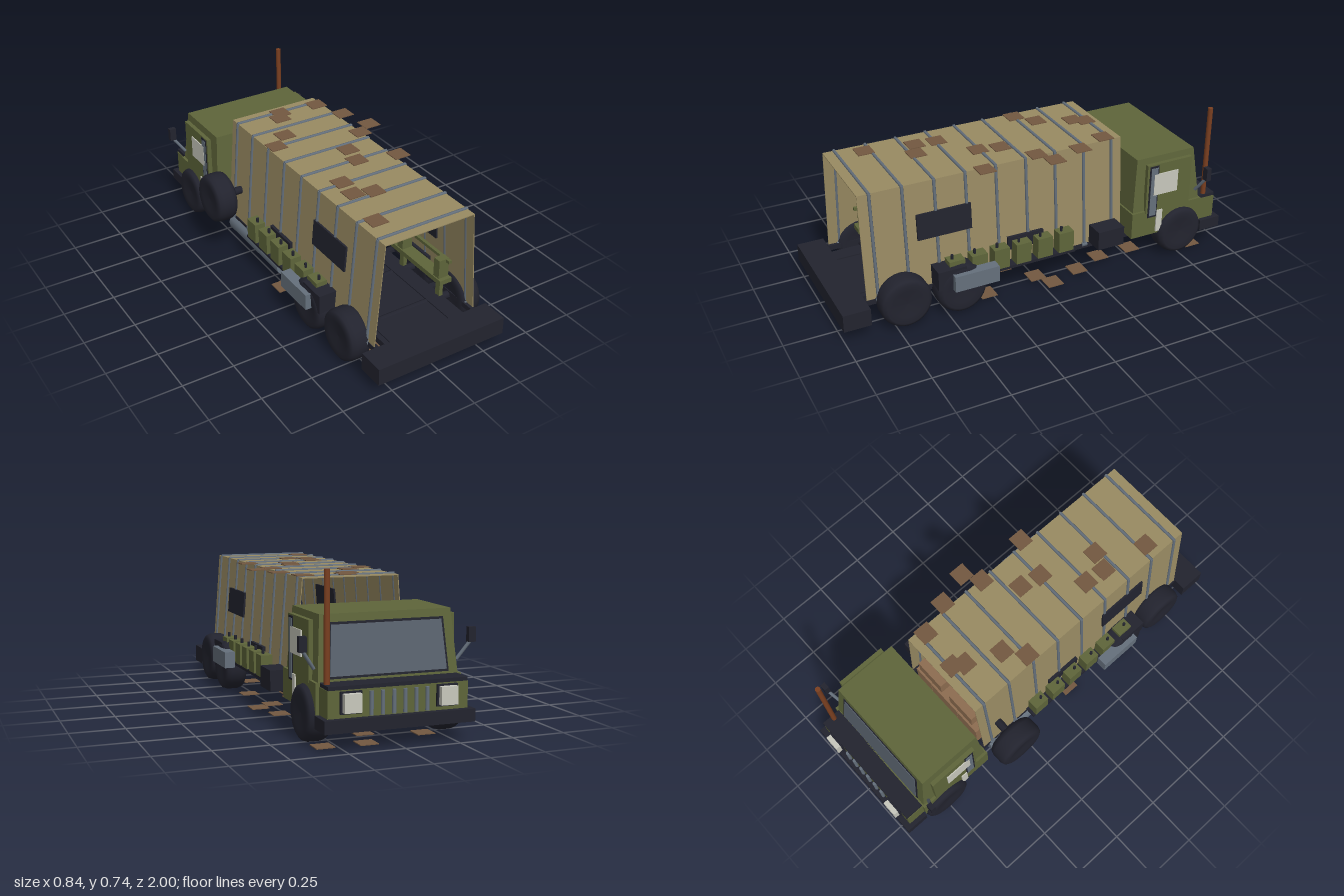
import * as THREE from 'three';

const paint = (name, color, side = THREE.FrontSide) => {
  const m = new THREE.MeshStandardMaterial({ color, side });
  m.name = name;
  return m;
};

export function createModel() {
  const olive = paint('olive paint', 0x5e653a);
  const black = paint('black rubber and steel', 0x22232e);
  const grey = paint('grey metal', 0x65707c);
  const canvas = paint('tan canvas', 0x988a62, THREE.DoubleSide);
  const wood = paint('crate wood', 0x8d6c50);
  const patchMat = paint('brown patch', 0x735840);
  const rust = paint('rusty pipe', 0x7a3f20);
  const pale = paint('pale lamp', 0xc8c8bd);
  const glass = paint('windscreen glass', 0x5a636e);

  const truck = new THREE.Group();
  truck.name = 'truck';
  truck.position.x = 0.017;

  const add = (name, geo, mat, x = 0, y = 0, z = 0) => {
    const m = new THREE.Mesh(geo, mat);
    m.name = name;
    m.position.set(x, y, z);
    truck.add(m);
    return m;
  };
  // Box given by its limits on each axis
  const box = (name, mat, x0, x1, y0, y1, z0, z1) =>
    add(name, new THREE.BoxGeometry(x1 - x0, y1 - y0, z1 - z0), mat, (x0 + x1) / 2, (y0 + y1) / 2, (z0 + z1) / 2);
  // The same box on both sides
  const pair = (name, mat, x0, x1, ...r) => {
    box(name, mat, x0, x1, ...r);
    box(name, mat, -x1, -x0, ...r);
  };
  // Box whose bottom and top rectangles [x0, x1, z0, z1] differ
  const taper = (name, mat, bottom, top, y0, y1) => {
    const geo = new THREE.BoxGeometry(1, 1, 1);
    const p = geo.attributes.position;
    for (let i = 0; i < p.count; i++) {
      const up = p.getY(i) > 0, r = up ? top : bottom;
      p.setXYZ(i, p.getX(i) < 0 ? r[0] : r[1], up ? y1 : y0, p.getZ(i) < 0 ? r[2] : r[3]);
    }
    const flat = geo.toNonIndexed();
    flat.computeVertexNormals();
    return add(name, flat, mat);
  };
  // Round bar between two points
  const bar = (name, mat, a, b, r, sides = 8) => {
    const p = new THREE.Vector3(...a), q = new THREE.Vector3(...b), d = q.clone().sub(p);
    const m = add(name, new THREE.CylinderGeometry(r, r, d.length(), sides), mat);
    m.position.copy(p).add(q).multiplyScalar(0.5);
    m.quaternion.setFromUnitVectors(new THREE.Vector3(0, 1, 0), d.normalize());
    return m;
  };

  // Chassis, cargo bed and bumpers
  box('cargoFloor', black, -0.215, 0.215, 0.105, 0.135, -0.45, 0.87);
  for (const s of [-1, 1]) box('chassisRail', black, s * 0.16 - 0.03, s * 0.16 + 0.03, 0.075, 0.14, -0.95, 0.88);
  pair('sideRail', black, 0.252, 0.275, 0.12, 0.145, -0.46, 0.87);
  for (const z of [-0.44, -0.1, 0.25, 0.6]) box('crossMember', black, -0.27, 0.27, 0.115, 0.13, z, z + 0.03);
  box('cabFloor', black, -0.24, 0.24, 0.095, 0.137, -0.95, -0.47);
  box('rearBumper', black, -0.338, 0.338, 0.058, 0.143, 0.87, 1);
  box('frontBumper', black, -0.337, 0.337, 0.085, 0.14, -0.995, -0.88);

  // Wheels
  const profile = [[0, -0.045], [0.07, -0.05], [0.1, -0.055], [0.116, -0.045], [0.123, -0.025],
    [0.123, 0.025], [0.116, 0.045], [0.1, 0.055], [0.07, 0.05], [0, 0.045]].map(p => new THREE.Vector2(...p));
  const tyre = new THREE.LatheGeometry(profile, 28);
  tyre.rotateZ(Math.PI / 2);
  for (const z of [-0.75, 0.43, 0.7]) {
    for (const s of [-1, 1]) add('wheel', tyre, black, s * 0.303, 0.126, z);
    bar('axle', black, [-0.28, 0.12, z], [0.28, 0.12, z], 0.02);
  }
  add('spareWheel', tyre, black, -0.387, 0.315, -0.345);
  bar('spareWheelBracket', black, [-0.36, 0.315, -0.345], [-0.24, 0.315, -0.345], 0.02);
  bar('exhaustTank', grey, [-0.245, 0.092, -0.42], [-0.245, 0.092, 0.07], 0.05, 12);

  // Canvas cover: two leaning walls and a roof
  const W = 0.27, T = 0.23, TOP = 0.655, Z0 = -0.45, Z1 = 0.865;
  for (const s of [-1, 1]) {
    const x0 = s * W, x1 = s * T;
    taper('canvasWall', canvas, [x0 - 0.002, x0 + 0.002, Z0, Z1], [x1 - 0.002, x1 + 0.002, Z0, Z1], 0.14, TOP);
  }
  box('canvasRoof', canvas, -T, T, TOP - 0.004, TOP, Z0, Z1);

  // Hoops over the cover
  for (let i = 0; i < 9; i++) {
    const z = 0.81 - i * 0.151;
    bar('hoopTop', grey, [-T - 0.004, TOP, z], [T + 0.004, TOP, z], 0.008, 6);
    for (const s of [-1, 1]) {
      bar('hoopLeg', grey, [s * (W + 0.002), 0.14, z], [s * (T + 0.002), TOP, z], 0.008, 6);
      bar('hoopFoot', grey, [s * W, 0.14, z - 0.013], [s * W, 0.14, z + 0.013], 0.012, 6);
    }
  }

  // Dark windows let into the canvas
  for (const s of [-1, 1]) {
    const at = (y, d) => [s * (W - (W - T) * (y - 0.14) / 0.515) - d, s * (W - (W - T) * (y - 0.14) / 0.515) + d, 0.34, 0.605];
    taper('canvasWindow', black, at(0.38, 0.011), at(0.505, 0.011), 0.38, 0.505);
  }

  // Stowage along both sides
  for (let i = 0; i < 6; i++) {
    const z = 0.445 - i * 0.1125;
    pair('fuelCan', olive, 0.272, 0.328, 0.165, 0.268, z - 0.039, z + 0.039);
    for (const s of [-1, 1]) bar('fuelCanCap', black, [s * 0.3, 0.265, z + 0.015], [s * 0.3, 0.29, z + 0.015], 0.007);
  }
  pair('canRack', black, 0.255, 0.325, 0.15, 0.165, -0.17, 0.41);
  pair('sideLocker', black, 0.26, 0.276, 0.22, 0.285, -0.02, 0.165);
  pair('greyLocker', grey, 0.33, 0.382, 0.14, 0.22, 0.26, 0.48);
  pair('mudguard', black, 0.243, 0.353, 0.15, 0.245, 0.41, 0.55);
  box('toolBox', black, 0.275, 0.368, 0.15, 0.245, -0.41, -0.27);

  // Benches and crates inside
  pair('benchSeat', olive, 0.172, 0.237, 0.222, 0.246, -0.2, 0.74);
  pair('benchRail', olive, 0.215, 0.232, 0.325, 0.34, -0.2, 0.74);
  for (const z of [-0.15, 0.12, 0.4, 0.68]) {
    pair('benchBack', olive, 0.178, 0.232, 0.246, 0.342, z, z + 0.04);
    pair('benchLeg', olive, 0.195, 0.215, 0.135, 0.222, z, z + 0.03);
  }
  box('bulkheadRail', olive, -0.245, 0.245, 0.325, 0.341, -0.25, -0.235);
  for (const [a, b] of [[-0.23, -0.094], [-0.091, 0.094], [0.097, 0.205]])
    box('lowerCrate', wood, a, b, 0.155, 0.32, -0.46, -0.27);
  pair('upperCrate', wood, 0.03, 0.19, 0.32, 0.41, -0.45, -0.3);

  // Cab body, nose and grille
  box('cabLower', olive, -0.331, 0.331, 0.137, 0.272, -0.875, -0.478);
  taper('cabUpper', olive, [-0.318, 0.318, -0.868, -0.487], [-0.298, 0.298, -0.83, -0.51], 0.27, 0.546);
  box('nose', olive, -0.315, 0.315, 0.137, 0.256, -0.966, -0.87);
  box('noseTop', black, -0.312, 0.312, 0.256, 0.272, -0.968, -0.87);
  for (let i = 0; i < 6; i++) {
    const x = -0.125 + i * 0.05;
    bar('grilleBar', grey, [x, 0.145, -0.972], [x, 0.245, -0.972], 0.009);
  }
  pair('headlightRim', black, 0.168, 0.262, 0.157, 0.25, -0.976, -0.964);
  pair('headlight', pale, 0.177, 0.253, 0.165, 0.243, -1, -0.972);

  // Windscreen on the sloping face
  const screen = (name, mat, y0, y1, hb, ht, out) => {
    const z = y => -0.868 + 0.038 * (y - 0.27) / 0.276 - out;
    taper(name, mat, [-hb, hb, z(y0), z(y0) + 0.007], [-ht, ht, z(y1), z(y1) + 0.007], y0, y1);
  };
  screen('windscreenFrame', black, 0.282, 0.512, 0.275, 0.26, 0.003);
  screen('windscreen', glass, 0.292, 0.502, 0.265, 0.25, 0.006);

  // Doors, door trim and mirrors
  pair('door', olive, 0.312, 0.333, 0.26, 0.52, -0.8, -0.55);
  pair('doorFrame', black, 0.332, 0.335, 0.235, 0.513, -0.613, -0.562);
  pair('doorPillar', grey, 0.333, 0.337, 0.245, 0.503, -0.607, -0.57);
  pair('doorWindow', pale, 0.332, 0.338, 0.355, 0.468, -0.722, -0.588);
  pair('doorHandle', pale, 0.33, 0.338, 0.15, 0.268, -0.645, -0.612);
  for (const s of [-1, 1]) bar('mirrorArm', grey, [s * 0.325, 0.325, -0.84], [s * 0.385, 0.41, -0.86], 0.008);
  pair('mirror', black, 0.367, 0.4, 0.4, 0.465, -0.873, -0.848);

  // Tall pipe on the nose, with a stay to the first hoop
  bar('stackPipe', rust, [0.296, 0.265, -0.912], [0.296, 0.738, -0.912], 0.0125, 12);

  // Loose camouflage patches above the roof and under the truck
  const spots = [[0, -0.385], [-0.03, -0.335], [0.2, -0.37], [0.26, -0.215], [-0.1, -0.17], [-0.19, -0.095],
    [0.31, -0.055], [0.225, -0.005], [0.08, 0.11], [0.06, 0.215], [0.255, 0.27], [-0.11, 0.35],
    [-0.12, 0.455], [-0.03, 0.485], [-0.16, 0.69]];
  const slab = new THREE.BoxGeometry(0.083, 0.004, 0.08);
  for (const [x, z] of spots) {
    add('roofPatch', slab, patchMat, x, 0.66, z);
    add('groundPatch', slab, patchMat, x, 0.002, z);
  }
  for (const [x, z] of [[0.29, -0.85], [0.1, -0.86], [-0.2, -0.78], [0.05, -0.7], [-0.1, -0.62], [0.2, -0.55], [-0.28, 0.1], [0.15, 0.58]])
    add('groundPatch', slab, patchMat, x, 0.002, z);

  const model = new THREE.Group();
  model.name = 'cargoTruck';
  model.add(truck);
  return model;
}
